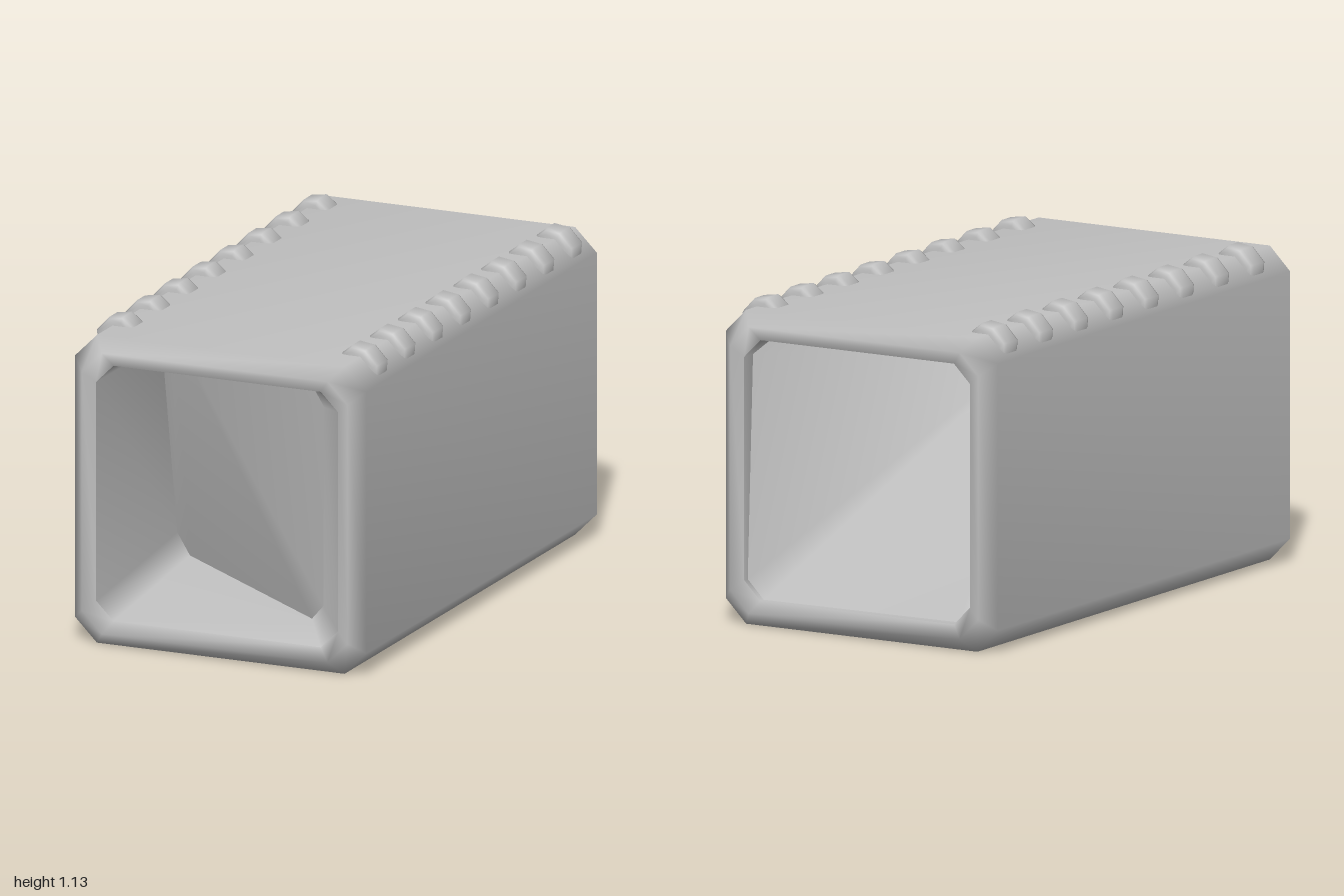
import * as THREE from 'three';
import { toCreasedNormals } from 'three/addons/utils/BufferGeometryUtils.js';

const MID = 0.55; // height of the tube's axis
const HOLE = 0.455; // half width of the openings

// Square ring with cut corners, counter-clockwise seen from the front
function ring(h, cut, zAt, dx = 0, dy = 0) {
  const c = h - cut;
  return [[h, -c], [h, c], [c, h], [-c, h], [-h, c], [-h, -c], [-c, -h], [c, -h]]
    .map(([x, y]) => [x + dx, y + dy + MID, zAt(x / h, y / h)]);
}

function build(points, index) {
  const g = new THREE.BufferGeometry();
  g.setAttribute('position', new THREE.Float32BufferAttribute(points.flat(), 3));
  g.setIndex(index);
  g.computeVertexNormals();
  return g;
}

// Joins rings of eight points into a smooth skin
function loft(rings) {
  const index = [];
  for (let i = 0; i < rings.length - 1; i++) {
    for (let k = 0; k < 8; k++) {
      const a = i * 8 + k, b = i * 8 + (k + 1) % 8;
      index.push(a, a + 8, b, b, a + 8, b + 8);
    }
  }
  return build(rings.flat(), index);
}

export function createModel() {
  const model = new THREE.Group();
  model.name = 'ribbedTube';
  const grey = new THREE.MeshStandardMaterial({ color: 0xbfbfbf });
  grey.name = 'grey';

  const add = (name, geometry, parent = model) => {
    const mesh = new THREE.Mesh(geometry, grey);
    mesh.name = name;
    parent.add(mesh);
    return mesh;
  };

  // Outer skin with a bevelled rim at each end
  const flat = (h, cut, z) => ring(h, cut, () => z);
  add('shell', loft([
    flat(HOLE, 0.065, 0.98), flat(0.5, 0.075, 1), flat(0.548, 0.082, 0.95),
    flat(0.548, 0.082, -0.95), flat(0.5, 0.075, -1), flat(HOLE, 0.065, -0.98),
  ]));

  // Slanted panels inside the openings: size, offset and depth of each corner
  const ends = [
    { name: 'front', s: 1, half: 0.418, dx: -0.037, dy: 0.033,
      upLeft: 0.93, upRight: 0.45, lowLeft: 0.94, lowRight: 0.3 },
    { name: 'back', s: -1, half: HOLE, dx: 0, dy: 0,
      upLeft: -0.92, upRight: -0.3, lowLeft: -0.96, lowRight: -0.94 },
  ];
  for (const e of ends) {
    const depth = (x, y) => {
      const u = x / 2 + 0.5, v = y / 2 + 0.5;
      return THREE.MathUtils.lerp(
        THREE.MathUtils.lerp(e.lowRight, e.lowLeft, u),
        THREE.MathUtils.lerp(e.upRight, e.upLeft, u), v);
    };
    const inner = ring(e.half, 0.065, depth, e.dx, e.dy);
    const rim = flat(HOLE, 0.065, e.s * 0.98);
    add(e.name + 'RecessWall', loft(e.s > 0 ? [inner, rim] : [rim, inner]));
    const index = [];
    for (let k = 1; k < 7; k++) {
      const b = (3 + k) % 8, c = (4 + k) % 8;
      index.push(3, ...(e.s > 0 ? [b, c] : [c, b]));
    }
    add(e.name + 'Panel', build(inner, index));
  }

  // Rounded lugs along both upper edges
  const outline = [[0.41, 1.04], [0.51, 1.04], [0.512, 1.065], [0.475, 1.104], [0.435, 1.11], [0.41, 1.09]];
  const shape = new THREE.Shape(outline.map(([x, y]) => new THREE.Vector2(x, y)));
  const raw = new THREE.ExtrudeGeometry(shape, {
    depth: 0.06, bevelThickness: 0.02, bevelSize: 0.02, bevelSegments: 2,
  });
  raw.translate(0, 0, -0.03);
  const lugGeometry = toCreasedNormals(raw, 1);
  for (const side of [1, -1]) {
    const row = new THREE.Group();
    row.name = side > 0 ? 'leftLugs' : 'rightLugs';
    for (let i = 0; i < 8; i++) {
      const lug = add('lug', lugGeometry, row);
      lug.position.z = 0.772 - i * 0.229;
      lug.rotation.y = side > 0 ? 0 : Math.PI;
    }
    model.add(row);
  }

  return model;
}
